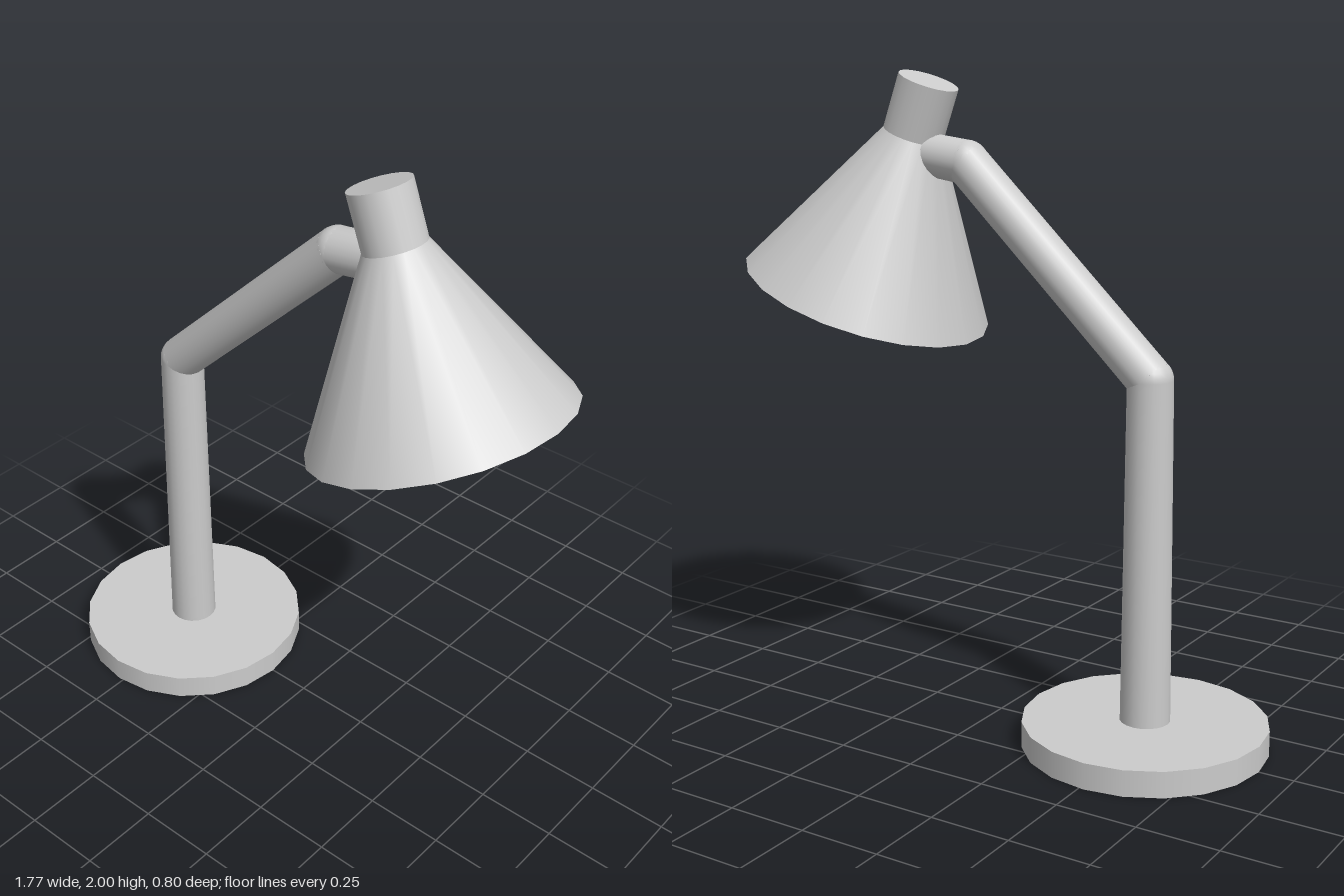
import * as THREE from 'three';

const SIDES = 20;
const material = new THREE.MeshStandardMaterial({ color: 0xcccccc });
const openMaterial = new THREE.MeshStandardMaterial({ color: 0xcccccc, side: THREE.DoubleSide });

function part(name, geometry, mat = material) {
  const mesh = new THREE.Mesh(geometry, mat);
  mesh.name = name;
  return mesh;
}

// Round rod between two points in the z = 0 plane
function rod(name, [x0, y0], [x1, y1], r0, r1) {
  const from = new THREE.Vector3(x0, y0, 0);
  const dir = new THREE.Vector3(x1 - x0, y1 - y0, 0);
  const mesh = part(name, new THREE.CylinderGeometry(r1, r0, dir.length(), SIDES));
  mesh.position.copy(from).addScaledVector(dir, 0.5);
  mesh.rotation.z = Math.atan2(-dir.x, dir.y);
  return mesh;
}

function joint(name, [x, y], r) {
  const mesh = part(name, new THREE.SphereGeometry(r, SIDES, 14));
  mesh.position.set(x, y, 0);
  return mesh;
}

export function createModel() {
  const lamp = new THREE.Group();
  lamp.name = 'deskLamp';

  const foot = [-0.515, 0.08], elbow = [-0.512, 1.125], wrist = [0.125, 1.73], tip = [0.29, 1.753];

  // Round foot
  const base = part('base', new THREE.CylinderGeometry(0.375, 0.375, 0.08, SIDES));
  base.position.set(foot[0], 0.04, 0);

  // Post, slanted arm and short stub into the shade
  lamp.add(
    base,
    rod('post', foot, elbow, 0.077, 0.069),
    joint('elbowJoint', elbow, 0.069),
    rod('arm', elbow, wrist, 0.069, 0.068),
    joint('wristJoint', wrist, 0.068),
    rod('shadeStub', wrist, tip, 0.068, 0.066)
  );

  // Tilted head, with its origin at the centre of the shade rim
  const head = new THREE.Group();
  head.name = 'lampHead';
  head.position.set(0.505, 1.307, 0);
  head.rotation.z = 0.35;

  const shade = part('shade', new THREE.CylinderGeometry(0.095, 0.4, 0.533, SIDES, 1, true), openMaterial);
  shade.position.y = 0.2665;

  const neck = part('neck', new THREE.CylinderGeometry(0.095, 0.095, 0.175, SIDES));
  neck.position.y = 0.62;

  // Flat-ended bulb inside the shade
  const bulb = part('bulb', new THREE.CylinderGeometry(0.08, 0.225, 0.32, SIDES));
  bulb.position.y = 0.375;

  head.add(shade, neck, bulb);
  lamp.add(head);
  return lamp;
}
